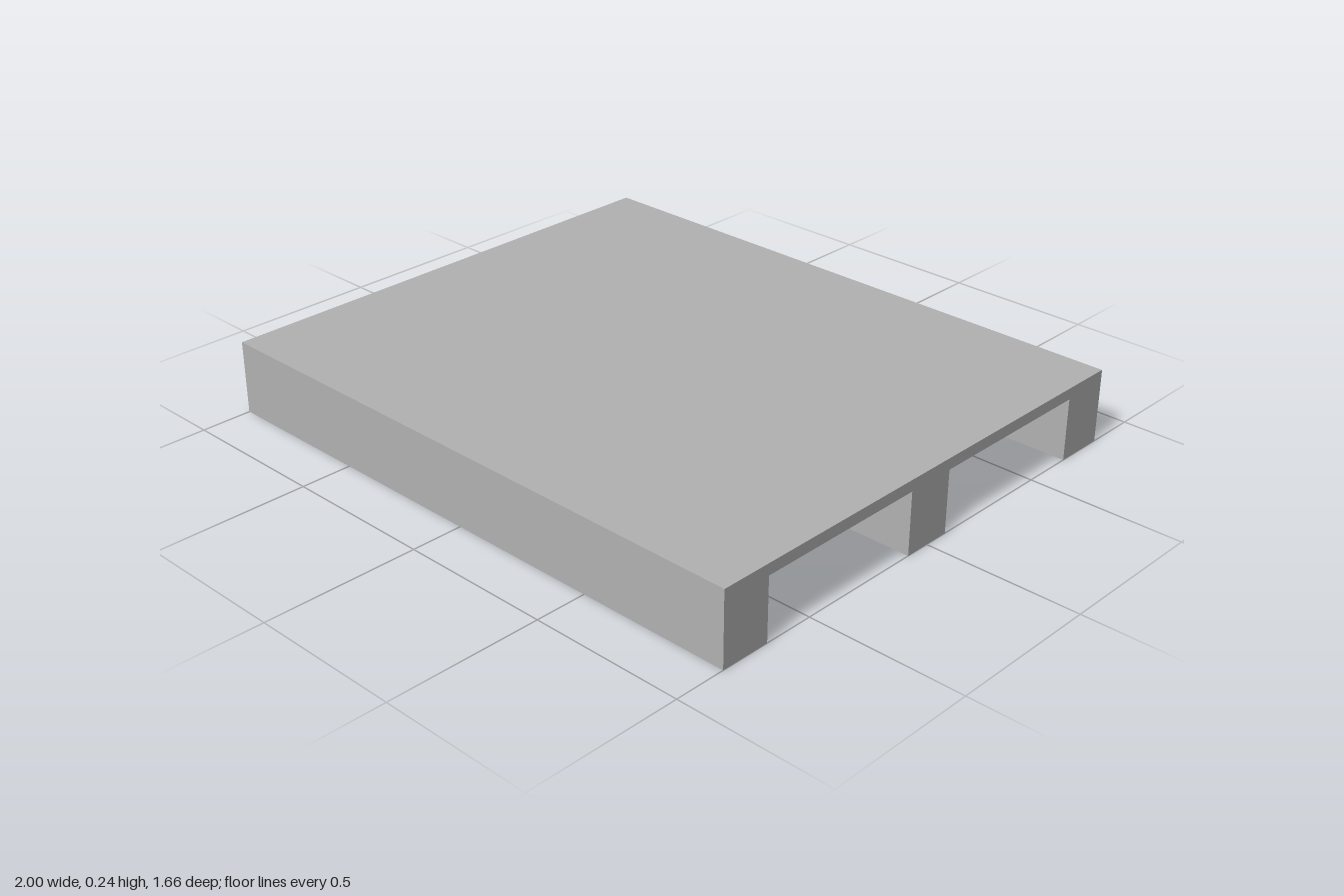
import * as THREE from 'three';

const LENGTH = 2, HALF_DEPTH = 0.832, HEIGHT = 0.24, DECK_BOTTOM = 0.203, RUNNER = 0.166;

export function createModel() {
  const grey = new THREE.MeshStandardMaterial({ color: 0xb2b2b2 });
  grey.name = 'plain grey';

  // Side profile: a thin deck with three runners beneath it
  const profile = new THREE.Shape();
  profile.moveTo(HALF_DEPTH, HEIGHT);
  profile.lineTo(-HALF_DEPTH, HEIGHT);
  const runnerCentres = [-HALF_DEPTH + RUNNER / 2, 0, HALF_DEPTH - RUNNER / 2];
  runnerCentres.forEach((c, i) => {
    const a = c - RUNNER / 2, b = c + RUNNER / 2;
    if (i > 0) profile.lineTo(a, DECK_BOTTOM);
    profile.lineTo(a, 0);
    profile.lineTo(b, 0);
    if (i < runnerCentres.length - 1) profile.lineTo(b, DECK_BOTTOM);
  });
  profile.closePath();

  // Run the profile along x
  const geometry = new THREE.ExtrudeGeometry(profile, { depth: LENGTH, bevelEnabled: false });
  geometry.translate(0, 0, -LENGTH / 2).rotateY(Math.PI / 2);

  const pallet = new THREE.Mesh(geometry, grey);
  pallet.name = 'deckWithRunners';

  const model = new THREE.Group();
  model.name = 'pallet';
  model.add(pallet);
  return model;
}
